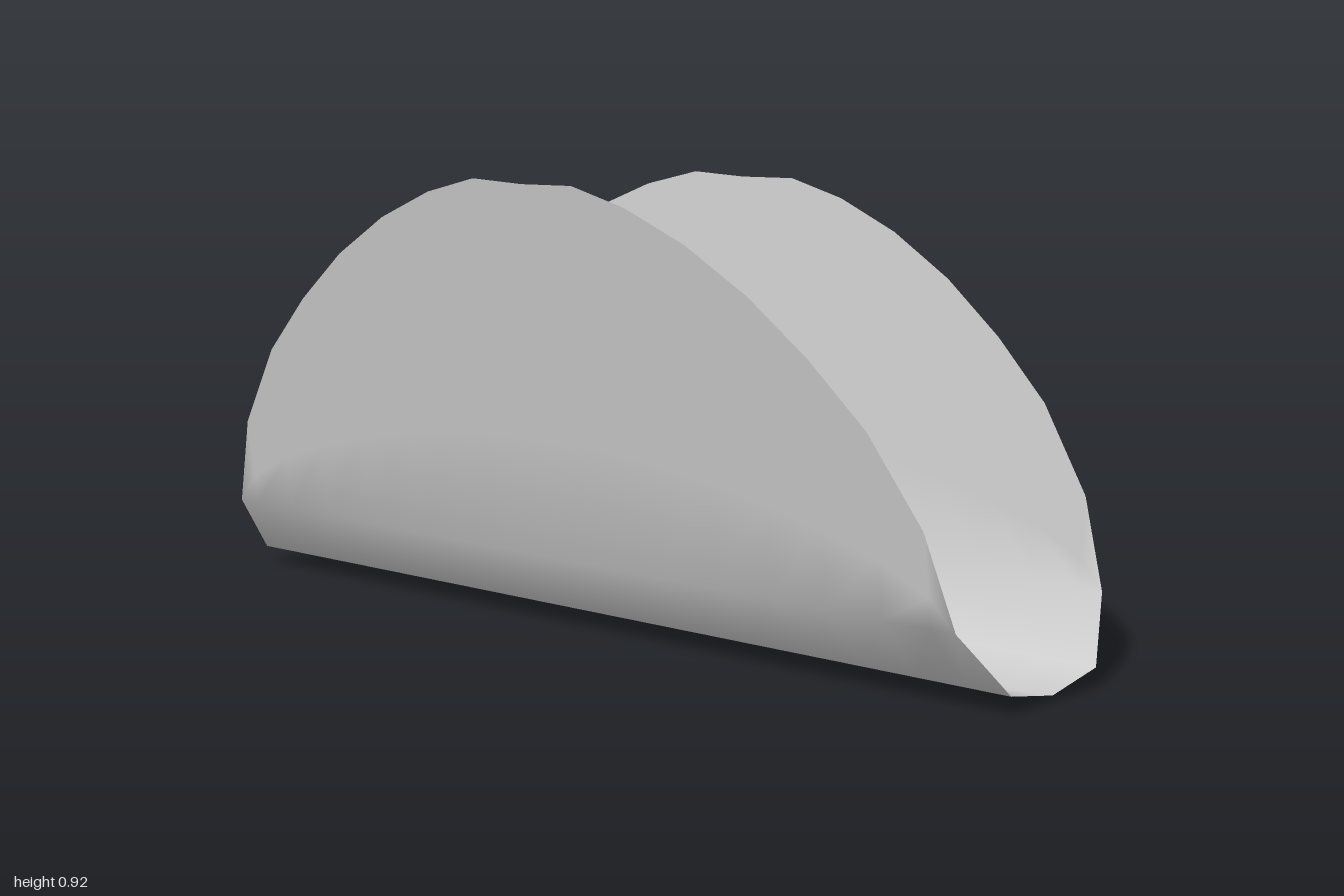
import * as THREE from 'three';
import { mergeVertices } from 'three/addons/utils/BufferGeometryUtils.js';

// Half of the rim: distance along z and wall height there
const rim = [
  [1, 0.042], [0.955, 0.167], [0.9, 0.35], [0.79, 0.52], [0.67, 0.64],
  [0.54, 0.745], [0.4, 0.83], [0.26, 0.89], [0.13, 0.924], [0, 0.92],
];

// Side wall point at a given height, from the fold's shoulder to the rim
function wallPoint(foot, top, y) {
  const t = Math.max(0, (y - foot[1]) / (top[1] - foot[1]));
  return [foot[0] + (top[0] - foot[0]) * t, foot[1] + (top[1] - foot[1]) * t];
}

// U-shaped cross-section whose walls stop at the rim height
function section(z, h) {
  const end = Math.max(0, (Math.abs(z) - 0.8) / 0.2);
  const lowL = [-0.115, 0.04], lowR = [0.163, 0.042];
  const footL = h < 0.1 ? lowL : [-0.225, 0.167];
  const footR = h < 0.1 ? lowR : [0.248, 0.165];
  const hR = h * 0.97;
  const points = [];
  for (const k of [1, 0.66, 0.33]) {
    points.push(wallPoint(footL, [-0.335, 0.924], footL[1] + (h - footL[1]) * k));
  }
  points.push(footL, lowL, [0.02, 0.004 + 0.012 * end], lowR, footR);
  for (const k of [0.33, 0.66, 1]) {
    points.push(wallPoint(footR, [0.334, 0.897], footR[1] + (hR - footR[1]) * k));
  }
  return points;
}

export function createModel() {
  const group = new THREE.Group();
  group.name = 'foldedShell';

  // Stations from back to front, with extra ones where the fold rises
  const half = [...rim];
  const stations = [
    ...half.map(([z, h]) => [-z, h]),
    ...half.slice(0, -1).reverse(),
  ];

  const positions = [];
  const index = [];
  const n = section(0, 0.92).length;
  stations.forEach(([z, h], j) => {
    for (const [x, y] of section(z, h)) positions.push(x, y, z);
    if (j === 0) return;
    for (let i = 0; i < n - 1; i++) {
      const a = (j - 1) * n + i, b = j * n + i;
      index.push(a, b, a + 1, a + 1, b, b + 1);
    }
  });

  let geometry = new THREE.BufferGeometry();
  geometry.setAttribute('position', new THREE.Float32BufferAttribute(positions, 3));
  geometry.setIndex(index);
  geometry = mergeVertices(geometry, 1e-4);
  geometry.computeVertexNormals();

  // Thin curved sheet
  const shell = new THREE.Mesh(
    geometry,
    new THREE.MeshStandardMaterial({ color: 0xcccccc, side: THREE.DoubleSide }),
  );
  shell.name = 'shell';
  group.add(shell);
  return group;
}
